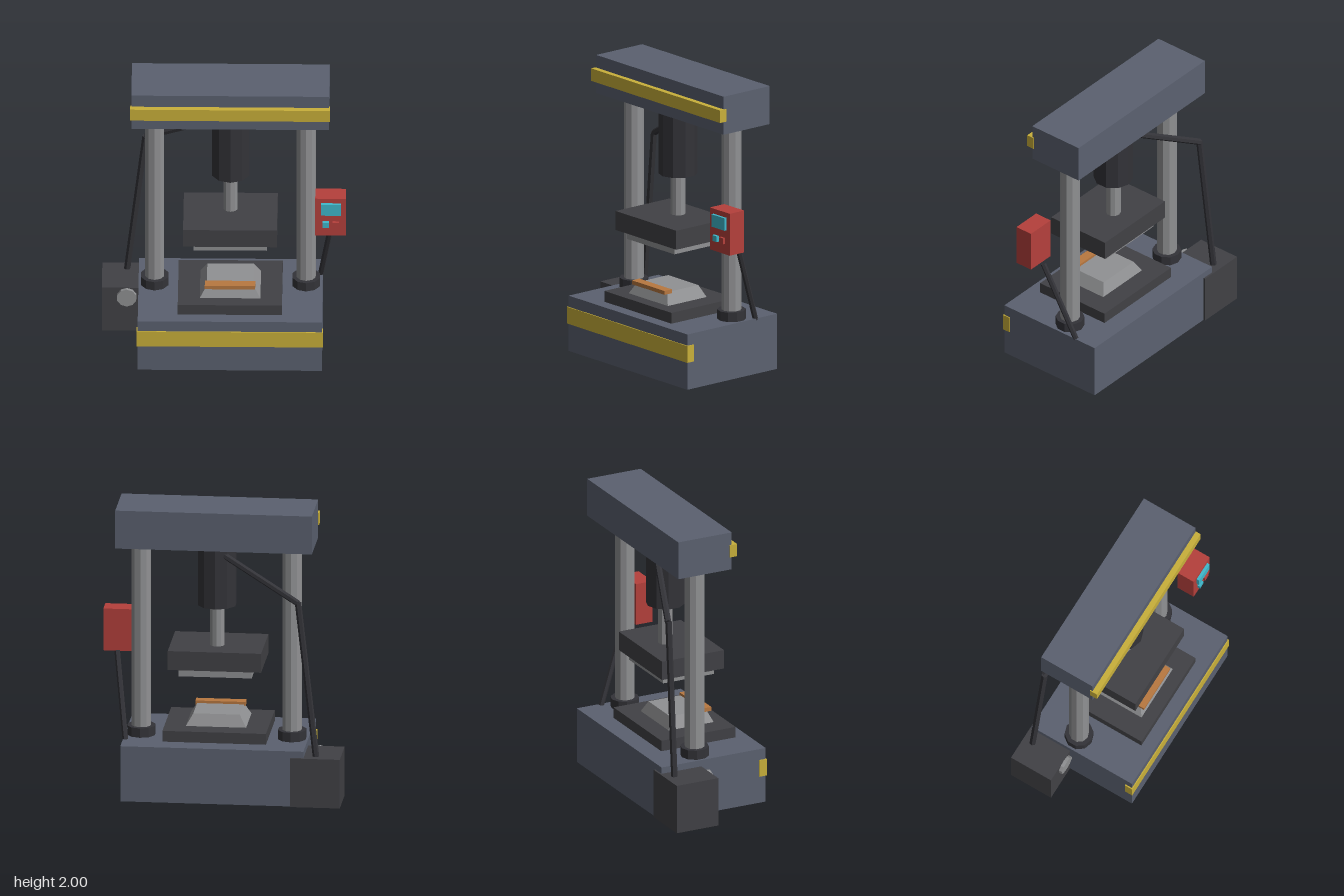
import * as THREE from 'three';

const mat = (name, color) => Object.assign(new THREE.MeshStandardMaterial({ color, flatShading: true }), { name });

export function createModel() {
  const slate = mat('slate paint', 0x5b6170);
  const yellow = mat('safety yellow', 0xc9b03a);
  const dark = mat('dark iron', 0x414145);
  const black = mat('black rubber', 0x333338);
  const steel = mat('steel', 0x909193);
  const red = mat('red paint', 0xb5403c);
  const cyan = mat('cyan display', 0x3fb8cc);
  const copper = mat('copper', 0xb87840);

  const model = new THREE.Group();
  model.name = 'hydraulicPress';
  const add = (name, geometry, material) => {
    const mesh = new THREE.Mesh(geometry, material);
    mesh.name = name;
    model.add(mesh);
    return mesh;
  };
  // Box given by its lower and upper bounds on each axis
  const box = (name, material, [x0, x1], [y0, y1], [z0, z1]) =>
    add(name, new THREE.BoxGeometry(x1 - x0, y1 - y0, z1 - z0), material)
      .position.set((x0 + x1) / 2, (y0 + y1) / 2, (z0 + z1) / 2);
  // Upright faceted cylinder between two heights
  const post = (name, material, x, z, y0, y1, r, sides = 10) =>
    add(name, new THREE.CylinderGeometry(r, r, y1 - y0, sides), material)
      .position.set(x, (y0 + y1) / 2, z);
  // Straight rod between two points
  const rod = (name, material, a, b, r) => {
    const from = new THREE.Vector3(...a), to = new THREE.Vector3(...b);
    const dir = to.clone().sub(from);
    const mesh = add(name, new THREE.CylinderGeometry(r, r, dir.length(), 6), material);
    mesh.position.copy(from).add(to).multiplyScalar(0.5);
    mesh.quaternion.setFromUnitVectors(new THREE.Vector3(0, 1, 0), dir.normalize());
  };

  // Base and top beam with their warning stripes
  box('base', slate, [-0.574, 0.659], [0, 0.385], [-0.39, 0.395]);
  box('baseStripe', yellow, [-0.583, 0.666], [0.19, 0.307], [0.345, 0.402]);
  box('topBeam', slate, [-0.62, 0.704], [1.735, 2], [-0.288, 0.115]);
  box('topStripe', yellow, [-0.627, 0.711], [1.825, 1.912], [0.098, 0.153]);

  // Columns and collars
  for (const [side, x] of [['right', -0.466], ['left', 0.549]]) {
    post(side + 'Column', steel, x, -0.085, 0.385, 1.74, 0.067);
    post(side + 'Collar', black, x, -0.085, 0.385, 0.45, 0.097);
  }

  // Ram cylinder, piston and moving platen
  post('ramCylinder', black, 0.043, -0.042, 1.295, 1.74, 0.132);
  post('piston', steel, 0.043, -0.042, 1.0, 1.3, 0.05);
  box('platen', dark, [-0.272, 0.357], [0.88, 1.012], [-0.23, 0.238]);
  box('upperDie', steel, [-0.204, 0.288], [0.825, 0.88], [-0.187, 0.196]);

  // Bed plate, tapered lower die and workpiece
  box('bedPlate', dark, [-0.307, 0.39], [0.385, 0.46], [-0.253, 0.307]);
  const die = new THREE.BoxGeometry(0.406, 0.08, 0.34);
  const p = die.attributes.position;
  for (let i = 0; i < p.count; i++) {
    if (p.getY(i) > 0) p.setXYZ(i, p.getX(i) * 0.77, p.getY(i), p.getZ(i) * 0.8);
  }
  die.computeVertexNormals();
  add('lowerDie', die, steel).position.set(0.043, 0.5, 0.048);
  box('workpiece', copper, [-0.127, 0.211], [0.53, 0.557], [0.153, 0.218]);

  // Control panel on its arm
  box('panelBox', red, [0.612, 0.818], [0.925, 1.217], [0.032, 0.158]);
  box('panelScreen', cyan, [0.65, 0.786], [1.095, 1.182], [0.15, 0.178]);
  box('startButton', cyan, [0.66, 0.704], [0.998, 1.039], [0.15, 0.178]);
  box('stopButton', red, [0.728, 0.771], [0.998, 1.039], [0.15, 0.178]);
  rod('panelArm', black, [0.722, 0.935, 0.005], [0.643, 0.375, -0.215], 0.019);

  // Pump box, its cap and the hydraulic line
  box('pumpBox', dark, [-0.82, -0.485], [0, 0.34], [-0.403, -0.09]);
  const cap = add('pumpCap', new THREE.CylinderGeometry(0.067, 0.067, 0.04, 10), steel);
  cap.rotation.x = Math.PI / 2;
  cap.position.set(-0.653, 0.272, -0.087);
  rod('upperLine', black, [0, 1.672, -0.132], [-0.53, 1.4, -0.318], 0.022);
  rod('lowerLine', black, [-0.53, 1.405, -0.315], [-0.655, 0.32, -0.335], 0.022);

  return model;
}
